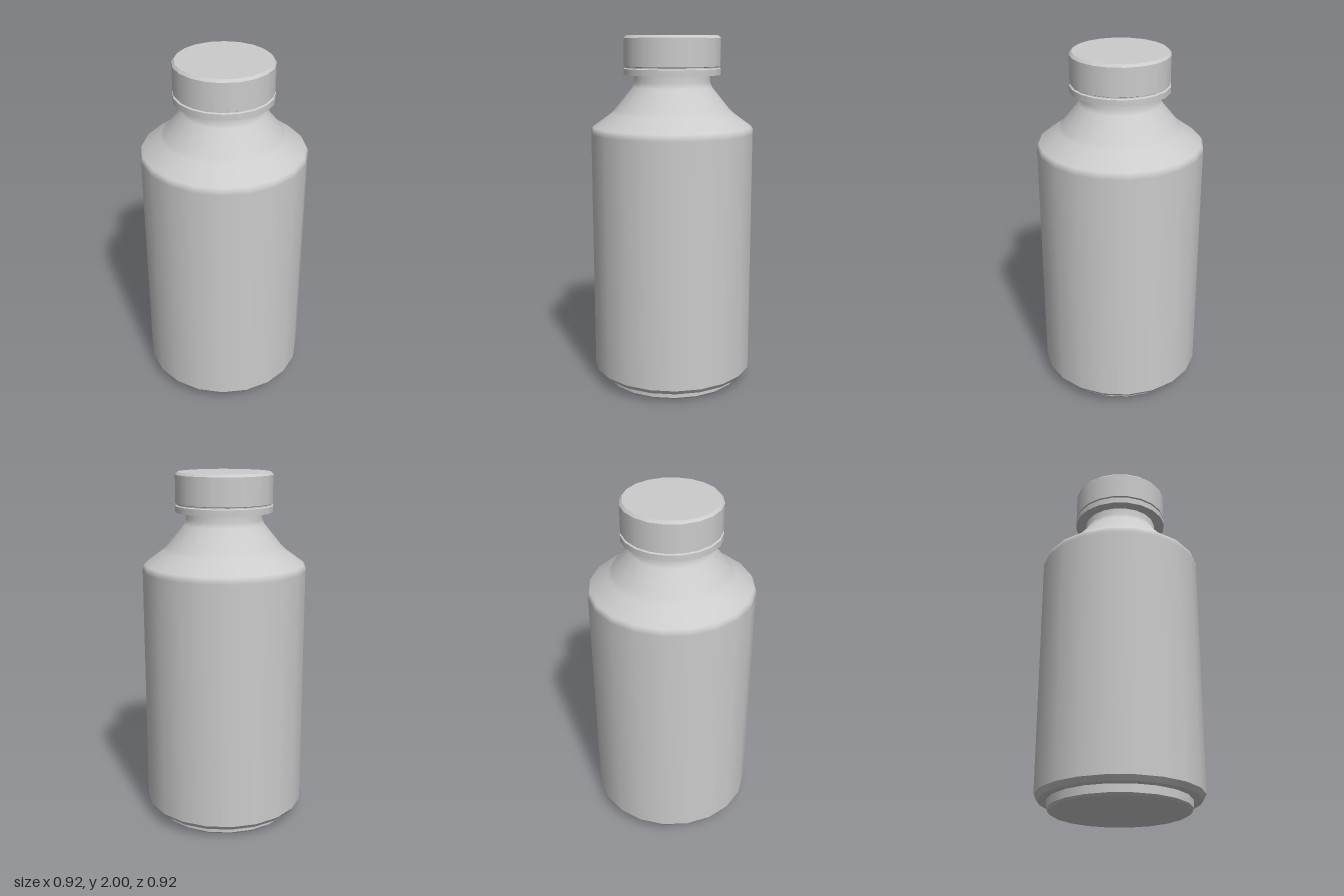
import * as THREE from 'three';

const SIDES = 20;
const material = new THREE.MeshStandardMaterial({ color: 0xcccccc });

// Each run is a smooth strip of [radius, height]; a hard edge falls between runs.
function turned(name, runs) {
  const part = new THREE.Group();
  part.name = name;
  runs.forEach((run, i) => {
    const points = run.map(([r, y]) => new THREE.Vector2(r, y));
    const mesh = new THREE.Mesh(new THREE.LatheGeometry(points, SIDES), material);
    mesh.name = `${name}Surface${i + 1}`;
    part.add(mesh);
  });
  return part;
}

export function createModel() {
  const bottle = new THREE.Group();
  bottle.name = 'bottle';

  // Recessed foot with a small bevel
  bottle.add(turned('foot', [
    [[0, 0], [0.38, 0]],
    [[0.38, 0], [0.393, 0.012]],
    [[0.393, 0.012], [0.393, 0.056]],
  ]));

  // Body wall flowing through the shoulder into the neck
  bottle.add(turned('body', [
    [[0.393, 0.056], [0.44, 0.056]],
    [[0.44, 0.056], [0.461, 0.083]],
    [[0.461, 0.083], [0.461, 1.46], [0.461, 1.48], [0.45, 1.496],
      [0.345, 1.572], [0.325, 1.592], [0.225, 1.715], [0.213, 1.745], [0.213, 1.8]],
  ]));

  // Tamper ring under the cap
  bottle.add(turned('capRing', [
    [[0.2, 1.784], [0.274, 1.784]],
    [[0.274, 1.784], [0.274, 1.818]],
    [[0.274, 1.818], [0.264, 1.822]],
  ]));

  // Screw cap with a bevelled top
  bottle.add(turned('cap', [
    [[0.264, 1.822], [0.264, 1.828]],
    [[0.264, 1.828], [0.272, 1.832]],
    [[0.272, 1.832], [0.272, 1.986]],
    [[0.272, 1.986], [0.259, 2]],
    [[0.259, 2], [0, 2]],
  ]));

  return bottle;
}
